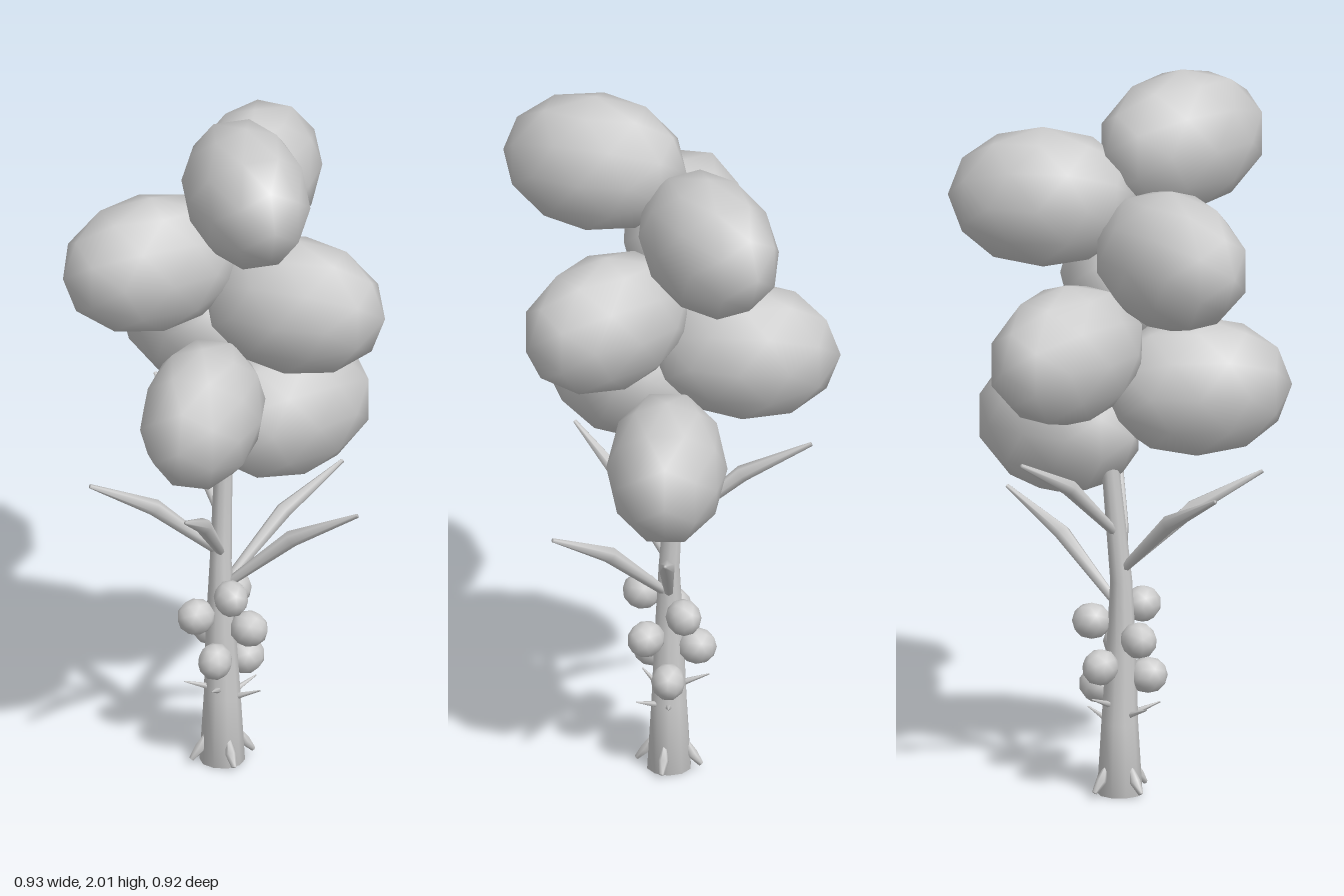
import * as THREE from 'three';

const GOLDEN = THREE.MathUtils.degToRad(137.5);
const grey = new THREE.MeshStandardMaterial({ color: 0xcccccc });

// Round, capped sweep along points with one radius per point
function sweep(points, radii, sides) {
  const up = new THREE.Vector3(0, 1, 0);
  const rings = points.map((p, i) => {
    const before = points[Math.max(i - 1, 0)];
    const after = points[Math.min(i + 1, points.length - 1)];
    const dir = after.clone().sub(before).normalize();
    return { p, r: radii[i], q: new THREE.Quaternion().setFromUnitVectors(up, dir) };
  });
  rings.unshift({ ...rings[0], r: 0 });
  rings.push({ ...rings[rings.length - 1], r: 0 });

  const position = [], index = [];
  rings.forEach(({ p, r, q }, i) => {
    for (let j = 0; j < sides; j++) {
      const t = (j / sides) * Math.PI * 2;
      const v = new THREE.Vector3(Math.cos(t) * r, 0, Math.sin(t) * r).applyQuaternion(q).add(p);
      position.push(v.x, v.y, v.z);
      if (i === 0) continue;
      const k = (j + 1) % sides, a = (i - 1) * sides, b = i * sides;
      index.push(a + j, b + j, b + k, a + j, b + k, a + k);
    }
  });
  const g = new THREE.BufferGeometry();
  g.setAttribute('position', new THREE.Float32BufferAttribute(position, 3));
  g.setIndex(index);
  g.computeVertexNormals();
  return g;
}

// Point at a distance from the trunk axis; angle runs from +x towards +z
const polar = (angle, r, y) => new THREE.Vector3(Math.cos(angle) * r, y, Math.sin(angle) * r);

export function createModel() {
  const model = new THREE.Group();
  const add = (name, geometry) => {
    const mesh = new THREE.Mesh(geometry, grey);
    mesh.name = name;
    model.add(mesh);
    return mesh;
  };

  // Ellipsoid pointing outwards from the trunk
  const blob = (name, angle, r, y, sx, sy, sz) => {
    const mesh = add(name, new THREE.IcosahedronGeometry(1, 1));
    mesh.scale.set(sx, sy, sz);
    mesh.rotation.y = Math.PI / 2 - angle;
    mesh.position.copy(polar(angle, r, y));
  };

  // Slightly bent, tapering trunk
  const trunk = [
    [0, 0, 0, 0.062], [0, 0.2, 0, 0.05], [-0.005, 0.4, 0, 0.041], [-0.005, 0.6, 0, 0.03],
    [0.018, 0.93, -0.02, 0.024], [0, 1.4, 0, 0.02], [0, 1.8, 0, 0.012],
  ];
  add('trunk', sweep(trunk.map(([x, y, z]) => new THREE.Vector3(x, y, z)), trunk.map((t) => t[3]), 10));

  // Foliage clumps and fruits climb the trunk in a spiral
  for (let i = 0; i < 7; i++) {
    blob('foliageClump', i * GOLDEN, 0.21, 1.01 + i * 0.133, 0.165, 0.197, 0.26);
    blob('fruit', i * GOLDEN, 0.077, 0.293 + i * 0.038, 0.047, 0.051, 0.054);
  }

  for (let i = 0; i < 5; i++) {
    const a = i * GOLDEN, step = i % 3;

    // Long bent leaves
    const y = 0.8 + step * 0.1;
    add('leaf', sweep(
      [polar(a, 0.01, y - 0.27), polar(a, 0.2, y - 0.1), polar(a, 0.39, y)],
      [0.012, 0.023, 0.006], 6));

    // Small thorns below the fruits
    const ty = 0.225 + step * 0.03;
    add('thorn', sweep([polar(a, 0.035, ty - 0.03), polar(a, 0.11, ty)], [0.01, 0.002], 5));
  }

  // Short root stubs around the base
  for (let i = 0; i < 4; i++) {
    const a = THREE.MathUtils.degToRad(12) + i * Math.PI / 2;
    add('root', sweep(
      [polar(a, 0.045, 0.085), polar(a, 0.065, 0.045), polar(a, 0.09, 0.015)],
      [0.006, 0.015, 0.007], 6));
  }

  return model;
}
